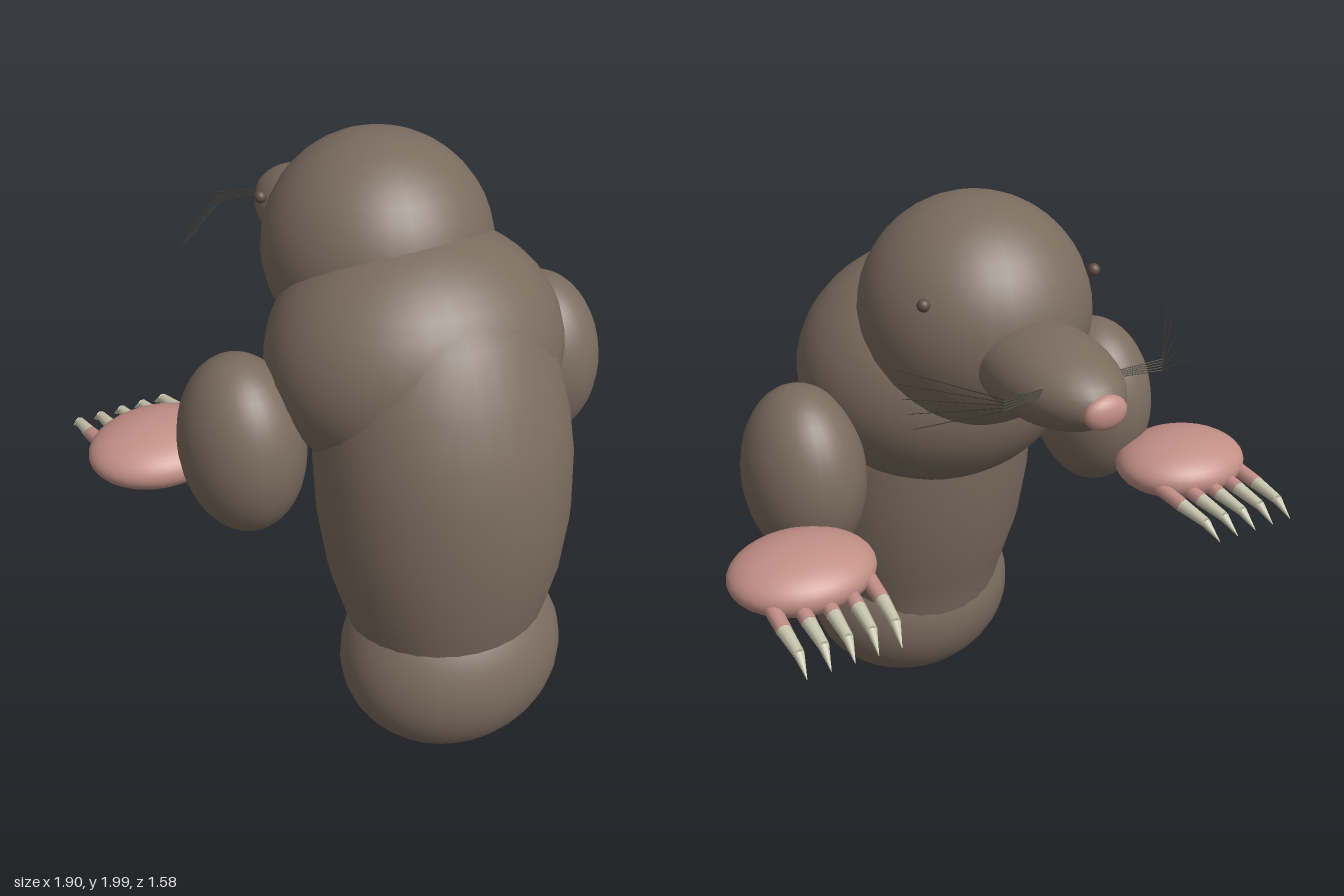
import * as THREE from 'three';

const mat = (name, color) => Object.assign(new THREE.MeshStandardMaterial({ color }), { name });

export function createModel() {
  const fur = mat('fur', 0x7b6c5f);
  const skin = mat('pinkSkin', 0xc28f86);
  const ivory = mat('claw', 0xc9c5ae);
  const dark = mat('eyeBrown', 0x5c4d42);
  const hair = mat('whisker', 0x3d382f);
  const model = new THREE.Group();
  model.name = 'mole';

  const add = (parent, name, geo, material) => {
    const m = new THREE.Mesh(geo, material);
    m.name = name;
    parent.add(m);
    return m;
  };
  const ellipsoid = (parent, name, material, pos, radii, seg = 32) => {
    const m = add(parent, name, new THREE.SphereGeometry(1, seg, Math.round(seg * 0.7)), material);
    m.position.set(...pos);
    m.scale.set(...radii);
    return m;
  };
  // tapered rod between two points
  const rod = (parent, name, material, a, b, ra, rb, sides = 10) => {
    const p = new THREE.Vector3(...a), q = new THREE.Vector3(...b);
    const d = q.clone().sub(p);
    const m = add(parent, name, new THREE.CylinderGeometry(rb, ra, d.length(), sides), material);
    m.position.copy(p).add(q).multiplyScalar(0.5);
    m.quaternion.setFromUnitVectors(new THREE.Vector3(0, 1, 0), d.normalize());
    return m;
  };
  // stacked elliptical rings: [y, front z, back z, half width]
  const loft = (rings, n = 32) => {
    const pos = [], idx = [];
    rings.forEach(([y, f, b, w]) => {
      for (let i = 0; i < n; i++) {
        const a = (i / n) * Math.PI * 2;
        pos.push(w * Math.cos(a), y, (f + b) / 2 + ((b - f) / 2) * Math.sin(a));
      }
    });
    for (let r = 0; r < rings.length - 1; r++) {
      for (let i = 0; i < n; i++) {
        const a = r * n + i, b = r * n + ((i + 1) % n);
        idx.push(a, a + n, b, b, a + n, b + n);
      }
    }
    const g = new THREE.BufferGeometry();
    g.setAttribute('position', new THREE.Float32BufferAttribute(pos, 3));
    g.setIndex(idx);
    g.computeVertexNormals();
    return g;
  };

  // body masses
  ellipsoid(model, 'rump', fur, [0, 0.345, 0.455], [0.385, 0.335, 0.335]);
  add(model, 'torso', loft([
    [0.36, 0.13, 0.67, 0.3], [0.45, 0.11, 0.705, 0.32], [0.53, 0.085, 0.73, 0.342],
    [0.7, 0.03, 0.768, 0.388], [0.9, -0.005, 0.787, 0.414], [1.1, -0.03, 0.782, 0.414],
    [1.25, -0.02, 0.75, 0.4], [1.4, 0, 0.69, 0.37], [1.55, 0.06, 0.605, 0.3],
    [1.66, 0.13, 0.5, 0.2], [1.73, 0.28, 0.34, 0.03],
  ]), fur);
  ellipsoid(model, 'shoulders', fur, [0, 1.375, 0.2], [0.485, 0.405, 0.43]);

  // head
  ellipsoid(model, 'head', fur, [0, 1.63, -0.035], [0.37, 0.37, 0.375]);
  ellipsoid(model, 'snout', fur, [0, 1.575, -0.45], [0.182, 0.138, 0.32]);
  ellipsoid(model, 'nose', skin, [0, 1.567, -0.755], [0.07, 0.052, 0.034], 20);

  for (const s of [-1, 1]) {
    const side = s > 0 ? 'left' : 'right';
    ellipsoid(model, side + 'Eye', dark, [s * 0.298, 1.772, -0.253], [0.02, 0.02, 0.02], 14);
    ellipsoid(model, side + 'Arm', fur, [s * 0.56, 1.135, 0.09], [0.195, 0.302, 0.236]);

    // paw with five fingers, each ending in a hooked claw
    const paw = new THREE.Group();
    paw.name = side + 'Paw';
    model.add(paw);
    ellipsoid(paw, 'palm', skin, [s * 0.718, 0.99, -0.23], [0.234, 0.1, 0.2]);
    for (let i = 0; i < 5; i++) {
      const x = 0.553 + i * 0.079, tip = 0.586 + i * 0.075;
      const knuckle = [s * (x + 0.008), 0.96, -0.455];
      const bend = [s * (x * 0.4 + tip * 0.6), 0.946, -0.56];
      rod(paw, 'finger', skin, [s * x, 0.975, -0.34], knuckle, 0.026, 0.024);
      rod(paw, 'clawBase', ivory, knuckle, bend, 0.023, 0.017);
      rod(paw, 'clawTip', ivory, bend, [s * tip, 0.9, -0.625], 0.017, 0.001);
    }

    // whiskers: short stem, then a fan swept backwards
    const whiskers = new THREE.Group();
    whiskers.name = side + 'Whiskers';
    model.add(whiskers);
    for (let i = 0; i < 5; i++) {
      const t = i / 4;
      const elbow = [s * 0.27, 1.63 - 0.035 * t, -0.652];
      rod(whiskers, 'whiskerStem', hair, [s * 0.12, 1.62 - 0.02 * t, -0.635], elbow, 0.0018, 0.0018, 5);
      rod(whiskers, 'whiskerHair', hair, elbow, [s * 0.478, 1.668 - 0.138 * t, -0.395 - 0.118 * t], 0.0018, 0.001, 5);
    }
  }
  return model;
}
